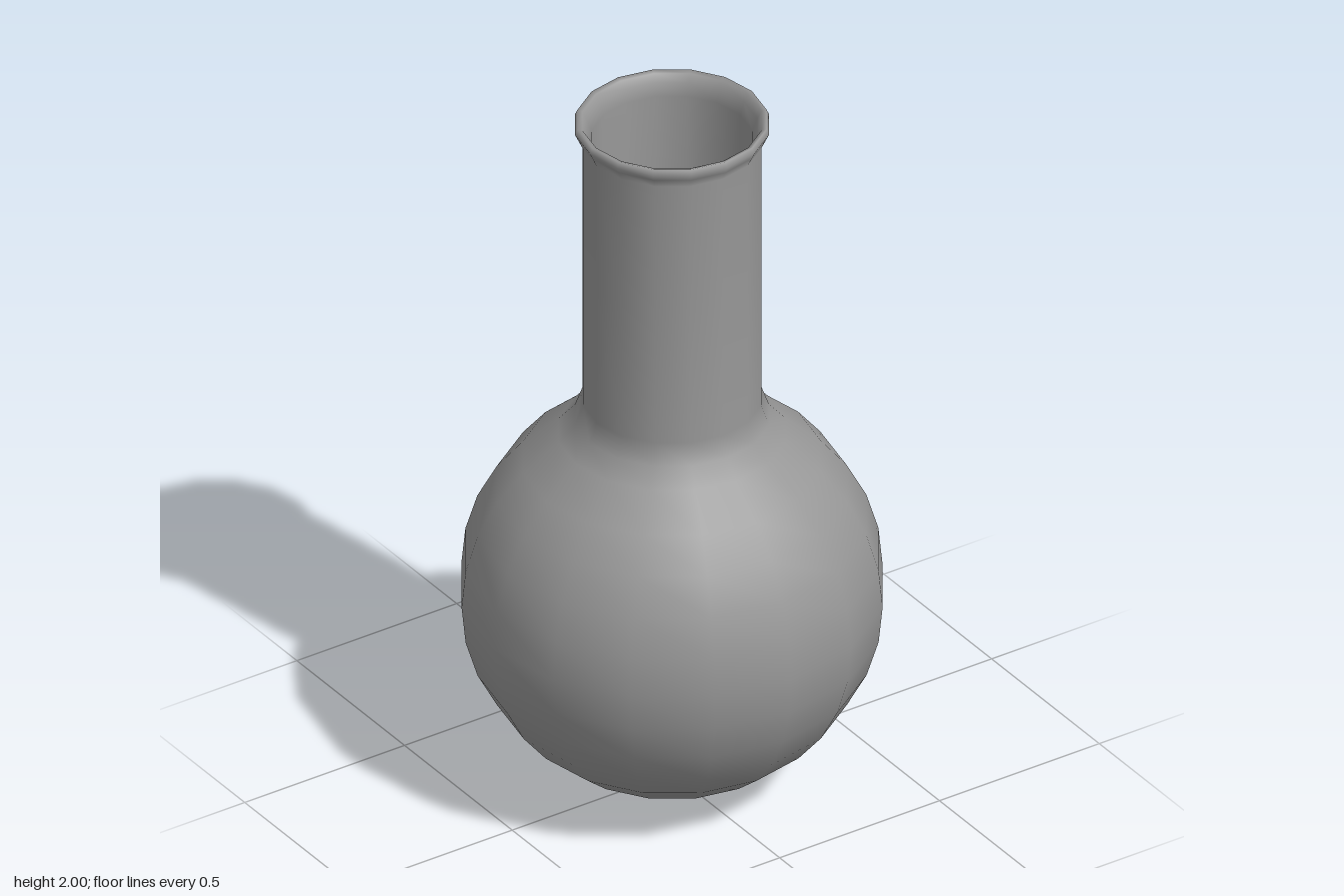
import * as THREE from 'three';

const SIDES = 16;
const ARC_STEPS = 12;

// Profile points of the bulb, from just above the base pole up to the shoulder
function bulbArc(radius) {
  return Array.from({ length: ARC_STEPS }, (_, i) => {
    const angle = ((i + 1) / ARC_STEPS) * Math.PI * 0.75;
    return [radius * Math.sin(angle), 0.575 - radius * Math.cos(angle)];
  });
}

// Round-bottomed flask: one continuous wall, out from the base, over the lip and back down inside
export function createModel() {
  const group = new THREE.Group();
  const material = new THREE.MeshStandardMaterial({ color: 0x979797, side: THREE.DoubleSide });

  // outer bulb, shoulder and neck
  const outer = [[0, 0], ...bulbArc(0.557), [0.3, 1.05], [0.257, 1.097], [0.236, 1.155], [0.236, 1.55], [0.236, 1.94]];
  // flared lip with a rounded top
  const lip = [[0.248, 1.966], [0.257, 1.985], [0.25, 2], [0.237, 1.996], [0.226, 1.975]];
  // inner neck, shoulder and bulb
  const inner = [[0.213, 1.94], [0.21, 1.55], [0.21, 1.155], [0.235, 1.085], [0.285, 1.03], ...bulbArc(0.531).reverse(), [0, 0.03]];

  const profile = [...outer, ...lip, ...inner].map(([r, y]) => new THREE.Vector2(r, y));
  const geometry = new THREE.LatheGeometry(profile, SIDES);

  // smooth the shading over both poles
  for (let i = 0; i <= SIDES; i++) {
    const first = i * profile.length;
    geometry.attributes.normal.setXYZ(first, 0, -1, 0);
    geometry.attributes.normal.setXYZ(first + profile.length - 1, 0, 1, 0);
  }

  const flask = new THREE.Mesh(geometry, material);
  flask.name = 'flask';
  group.add(flask);
  return group;
}
